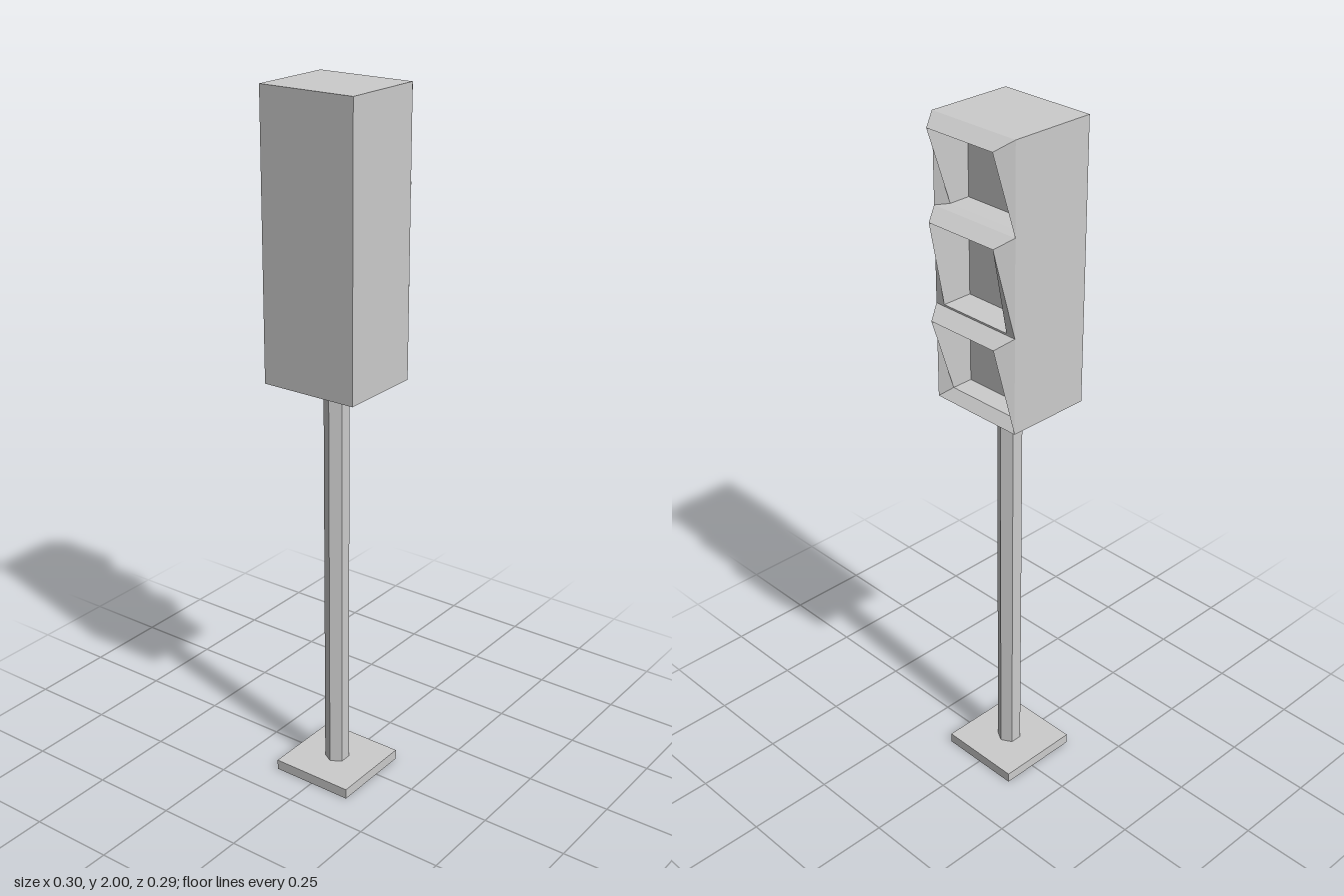
import * as THREE from 'three';

const grey = new THREE.MeshStandardMaterial({ color: 0xcccccc, flatShading: true, side: THREE.DoubleSide });

const FRONT = 0.1, BACK = -0.15, HALF = 0.144; // housing extents in x and z
const BOTTOM = 1.21, TOP = 2;
const POLE_X = -0.025, POLE_R = 0.035, PLATE_Y = 0.03;

function add(group, name, geometry) {
  const mesh = new THREE.Mesh(geometry, grey);
  mesh.name = name;
  group.add(mesh);
  return mesh;
}

// Four corners seen from +x, counter-clockwise from bottom left
function ring(xBottom, xTop, y0, y1, h) {
  return [[xBottom, y0, h], [xBottom, y0, -h], [xTop, y1, -h], [xTop, y1, h]];
}

// Joins successive rings with quads and closes the last one
function lampOpening(rings) {
  const pos = [];
  const quad = (a, b, c, d) => pos.push(...a, ...b, ...c, ...a, ...c, ...d);
  for (let r = 0; r < rings.length - 1; r++) {
    for (let i = 0; i < 4; i++) {
      const j = (i + 1) % 4;
      quad(rings[r][i], rings[r][j], rings[r + 1][j], rings[r + 1][i]);
    }
  }
  quad(...rings[rings.length - 1]);
  const g = new THREE.BufferGeometry();
  g.setAttribute('position', new THREE.Float32BufferAttribute(pos, 3));
  g.computeVertexNormals();
  return g;
}

export function createModel() {
  const model = new THREE.Group();
  model.name = 'trafficLight';

  // Housing box, open on the lamp side
  const box = new THREE.BoxGeometry(FRONT - BACK, TOP - BOTTOM, HALF * 2);
  box.setIndex(Array.from(box.index.array).slice(6));
  box.clearGroups();
  box.translate((FRONT + BACK) / 2, (TOP + BOTTOM) / 2, 0);
  add(model, 'housing', box);

  // Three hooded, recessed lamp openings
  const lamps = [
    { name: 'topLamp', outer: [1.755, TOP], inner: [1.76, 1.974], sill: 0.073 },
    { name: 'middleLamp', outer: [1.485, 1.755], inner: [1.49, 1.73], sill: 0.1 },
    { name: 'bottomLamp', outer: [BOTTOM, 1.485], inner: [1.236, 1.458], sill: 0.073 },
  ];
  for (const { name, outer, inner, sill } of lamps) {
    add(model, name, lampOpening([
      ring(FRONT, FRONT, ...outer, HALF),
      ring(sill, 0.146, ...inner, 0.114),
      ring(0.01, 0.01, ...inner, 0.114),
    ]));
  }

  // Hollow hexagonal pole
  const poleH = BOTTOM - PLATE_Y;
  const pole = new THREE.CylinderGeometry(POLE_R, POLE_R, poleH, 6, 1, true);
  pole.rotateY(Math.PI / 6);
  pole.translate(POLE_X, PLATE_Y + poleH / 2, 0);
  add(model, 'pole', pole);

  // Base: a square plate with the pole's hole, and a rim open underneath
  const b = 0.125;
  const plate = new THREE.Shape([[-b, -b], [b, -b], [b, b], [-b, b]].map(p => new THREE.Vector2(...p)));
  const hole = [];
  for (let i = 0; i < 6; i++) {
    const a = -i * Math.PI / 3;
    hole.push(new THREE.Vector2(POLE_R * Math.cos(a), POLE_R * Math.sin(a)));
  }
  plate.holes.push(new THREE.Path(hole));
  const plateGeo = new THREE.ShapeGeometry(plate);
  plateGeo.rotateX(-Math.PI / 2);
  plateGeo.translate(POLE_X, PLATE_Y, 0);
  add(model, 'basePlate', plateGeo);

  const rim = new THREE.CylinderGeometry(b * Math.SQRT2, b * Math.SQRT2, PLATE_Y, 4, 1, true);
  rim.rotateY(Math.PI / 4);
  rim.translate(POLE_X, PLATE_Y / 2, 0);
  add(model, 'baseRim', rim);

  return model;
}
